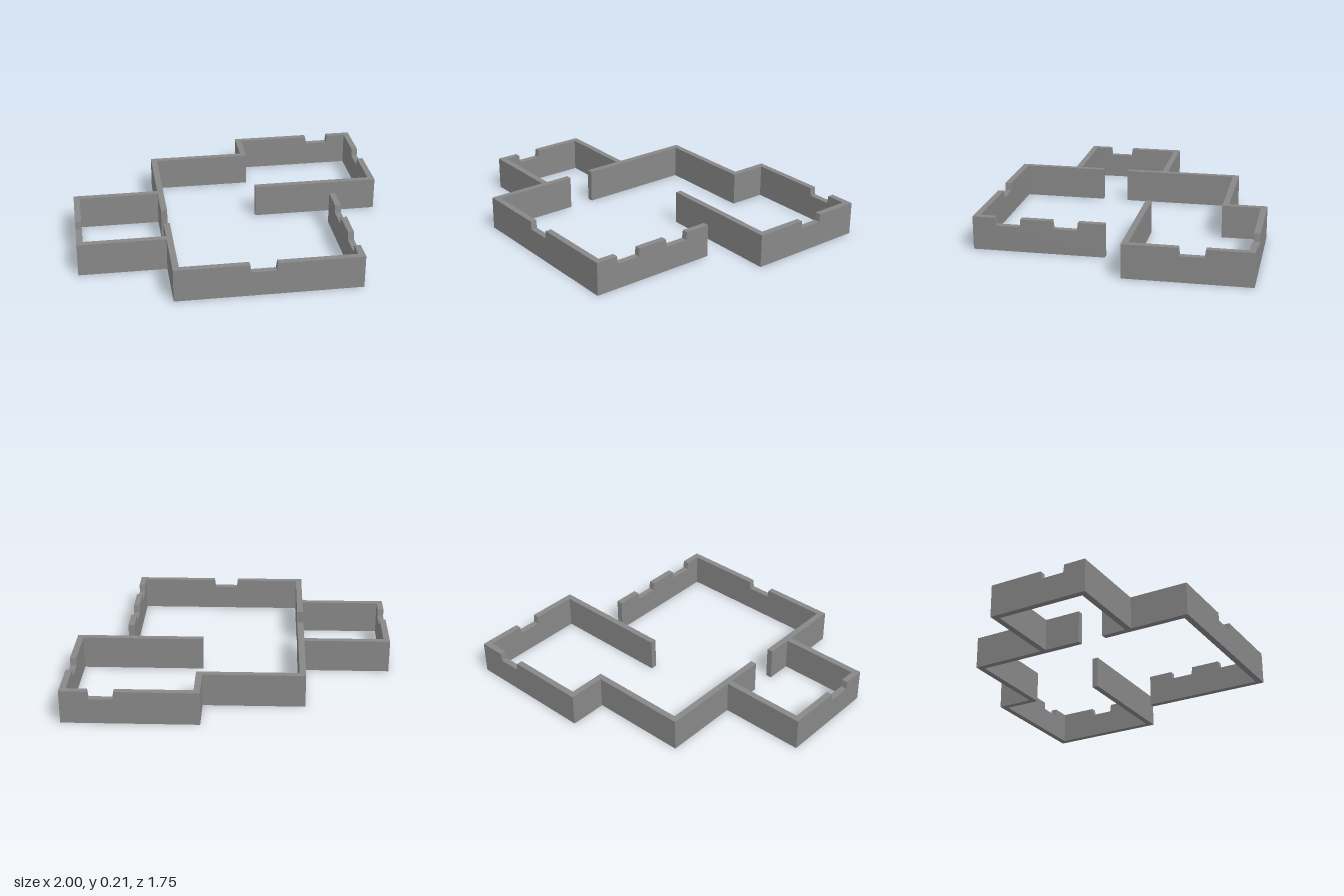
import * as THREE from 'three';

const HEIGHT = 0.21, THICK = 0.039, SILL = 0.16, TAPER = 0.006;

// Wall elevation from a to b, with tapered notches cut into the top edge
function wallGeometry(a, b, notches) {
  const s = new THREE.Shape();
  s.moveTo(a, 0);
  s.lineTo(b, 0);
  s.lineTo(b, HEIGHT);
  for (const [n0, n1] of [...notches].reverse()) {
    s.lineTo(n1, HEIGHT);
    s.lineTo(n1 - TAPER, SILL);
    s.lineTo(n0 + TAPER, SILL);
    s.lineTo(n0, HEIGHT);
  }
  s.lineTo(a, HEIGHT);
  s.closePath();
  return new THREE.ExtrudeGeometry(s, { depth: THICK, bevelEnabled: false });
}

export function createModel() {
  const group = new THREE.Group();
  group.name = 'floorPlanWalls';
  const wallGrey = new THREE.MeshStandardMaterial({ color: 0x888888 });
  wallGrey.name = 'wallGrey';

  // name, direction, lower edge on the other axis, start, end, notches
  const walls = [
    // walls running along x
    ['backWall', 'x', -0.875, 0.17, 1, [[0.677, 0.835]]],
    ['backStepWall', 'x', -0.634, -0.455, 0.17, []],
    ['backRoomDivider', 'x', -0.145, 0.193, 1, []],
    ['annexBackWall', 'x', -0.145, -1, -0.455, []],
    ['annexFrontWall', 'x', 0.46, -1, -0.455, []],
    ['frontWall', 'x', 0.836, -0.455, 0.694, [[0, 0.165]]],
    // walls running along z
    ['stepSideWall', 'z', 0.17, -0.836, -0.595, []],
    ['backRoomLeftWall', 'z', 0.961, -0.836, -0.145, [[-0.595, -0.437]]],
    ['mainRightWallBack', 'z', -0.455, -0.595, 0.133, []],
    ['mainRightWallFront', 'z', -0.455, 0.3, 0.836, []],
    ['annexOuterWall', 'z', -1, -0.106, 0.46, [[0.2, 0.36]]],
    ['mainLeftWall', 'z', 0.655, 0.052, 0.836, [[0.217, 0.377], [0.573, 0.735]]],
  ];

  for (const [name, dir, edge, a, b, notches] of walls) {
    const mesh = new THREE.Mesh(wallGeometry(a, b, notches), wallGrey);
    mesh.name = name;
    if (dir === 'x') {
      mesh.position.z = edge;
    } else {
      mesh.rotation.y = -Math.PI / 2;
      mesh.position.x = edge + THICK;
    }
    group.add(mesh);
  }
  return group;
}
